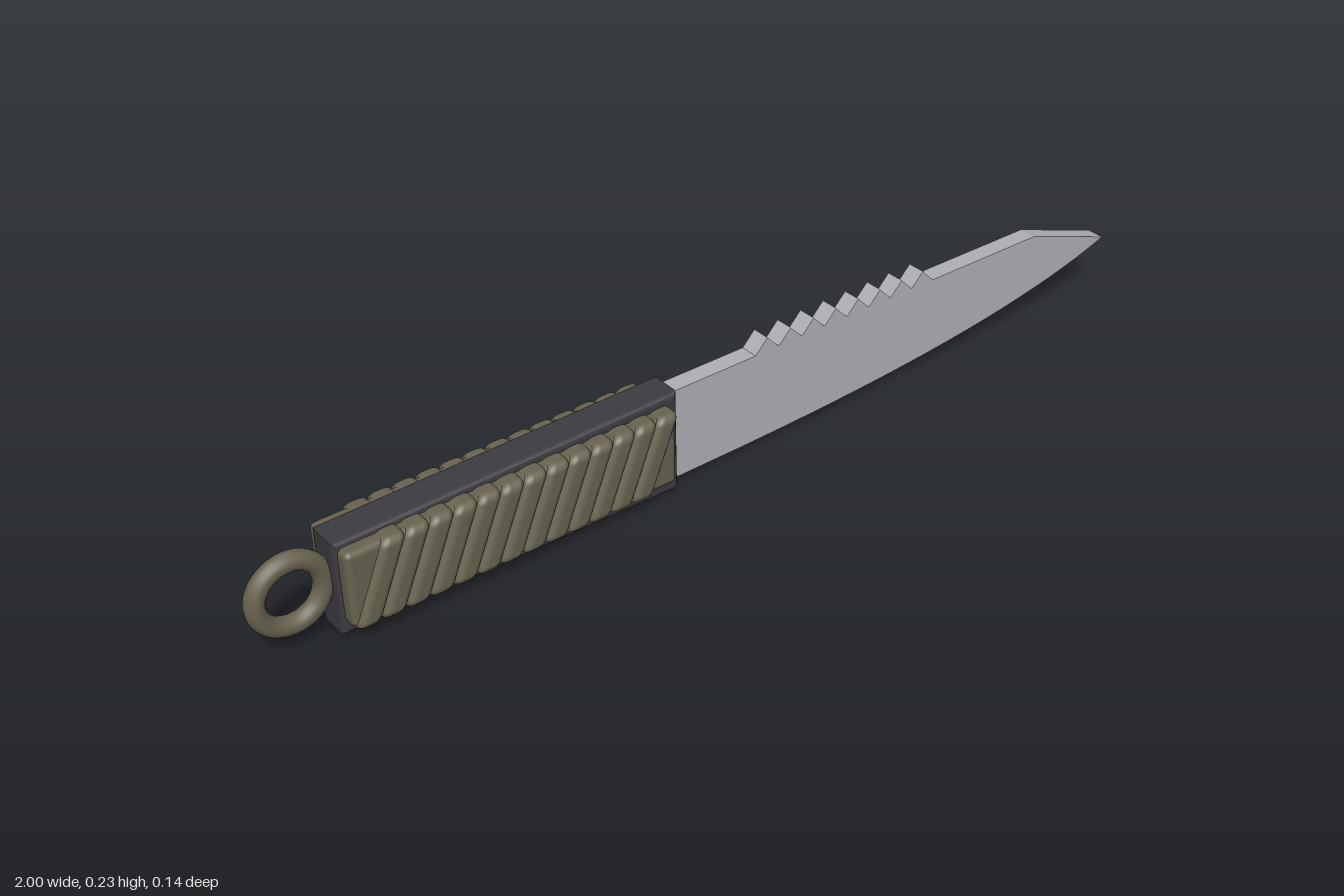
import * as THREE from 'three';
import { RoundedBoxGeometry } from 'three/addons/geometries/RoundedBoxGeometry.js';

const material = (name, color) => {
  const m = new THREE.MeshStandardMaterial({ color });
  m.name = name;
  return m;
};

export function createModel() {
  const steel = material('steel', 0xb0b1b5);
  const black = material('handleBlack', 0x3c3b40);
  const olive = material('oliveCord', 0x686350);
  const group = new THREE.Group();
  group.name = 'knife';
  const add = (name, geometry, mat, parent = group) => {
    const mesh = new THREE.Mesh(geometry, mat);
    mesh.name = name;
    parent.add(mesh);
    return mesh;
  };

  // Blade: curved cutting edge, clipped point and saw teeth along the spine
  const blade = new THREE.Shape();
  blade.moveTo(-0.2, 0.013);
  blade.lineTo(0, 0.014);
  blade.bezierCurveTo(0.38, 0.018, 0.76, 0.045, 1, 0.128);
  blade.lineTo(0.785, 0.202);
  const teeth = 8, first = 0.045, pitch = 0.0565;
  for (let i = teeth - 1; i >= 0; i--) {
    const x = first + i * pitch;
    blade.lineTo(x + pitch, 0.203);
    blade.lineTo(x + pitch / 2, 0.232);
  }
  blade.lineTo(first, 0.203);
  blade.lineTo(-0.2, 0.203);
  const bladeGeo = new THREE.ExtrudeGeometry(blade, { depth: 0.038, bevelEnabled: false, curveSegments: 20 });
  bladeGeo.translate(0, 0, -0.019);
  add('blade', bladeGeo, steel);

  // Handle core: tapers towards the ring, with softened edges
  const b = 0.01;
  const core = new THREE.Shape();
  core.moveTo(-0.85 + b, 0.014 + b);
  core.lineTo(-0.15 - b, b);
  core.lineTo(-0.15 - b, 0.212 - b);
  core.lineTo(-0.85 + b, 0.201 - b);
  core.closePath();
  const coreGeo = new THREE.ExtrudeGeometry(core, { depth: 0.072 - 2 * b, bevelSize: b, bevelThickness: b, bevelSegments: 3 });
  coreGeo.translate(0, 0, -0.036 + b);
  add('handleCore', coreGeo, black);

  // Cord wrap: a backing pad with slanted strands on each side
  const strands = 13;
  const strandGeo = new RoundedBoxGeometry(0.049, 0.16, 0.05, 3, 0.017);
  strandGeo.applyMatrix4(new THREE.Matrix4().makeShear(0, 0, 0.42, 0, 0, 0));
  for (const side of [1, -1]) {
    const wrap = new THREE.Group();
    wrap.name = side > 0 ? 'frontWrap' : 'backWrap';
    add('pad', new RoundedBoxGeometry(0.67, 0.152, 0.04, 3, 0.012), olive, wrap)
      .position.set(-0.508, 0.115, side * 0.042);
    for (let i = 0; i < strands; i++) {
      add('strand', strandGeo, olive, wrap)
        .position.set(-0.785 + i * 0.0467, 0.115, side * 0.047);
    }
    group.add(wrap);
  }

  // Lanyard ring at the butt
  add('ring', new THREE.TorusGeometry(0.0625, 0.0185, 14, 40), olive)
    .position.set(-0.919, 0.118, 0);

  return group;
}
